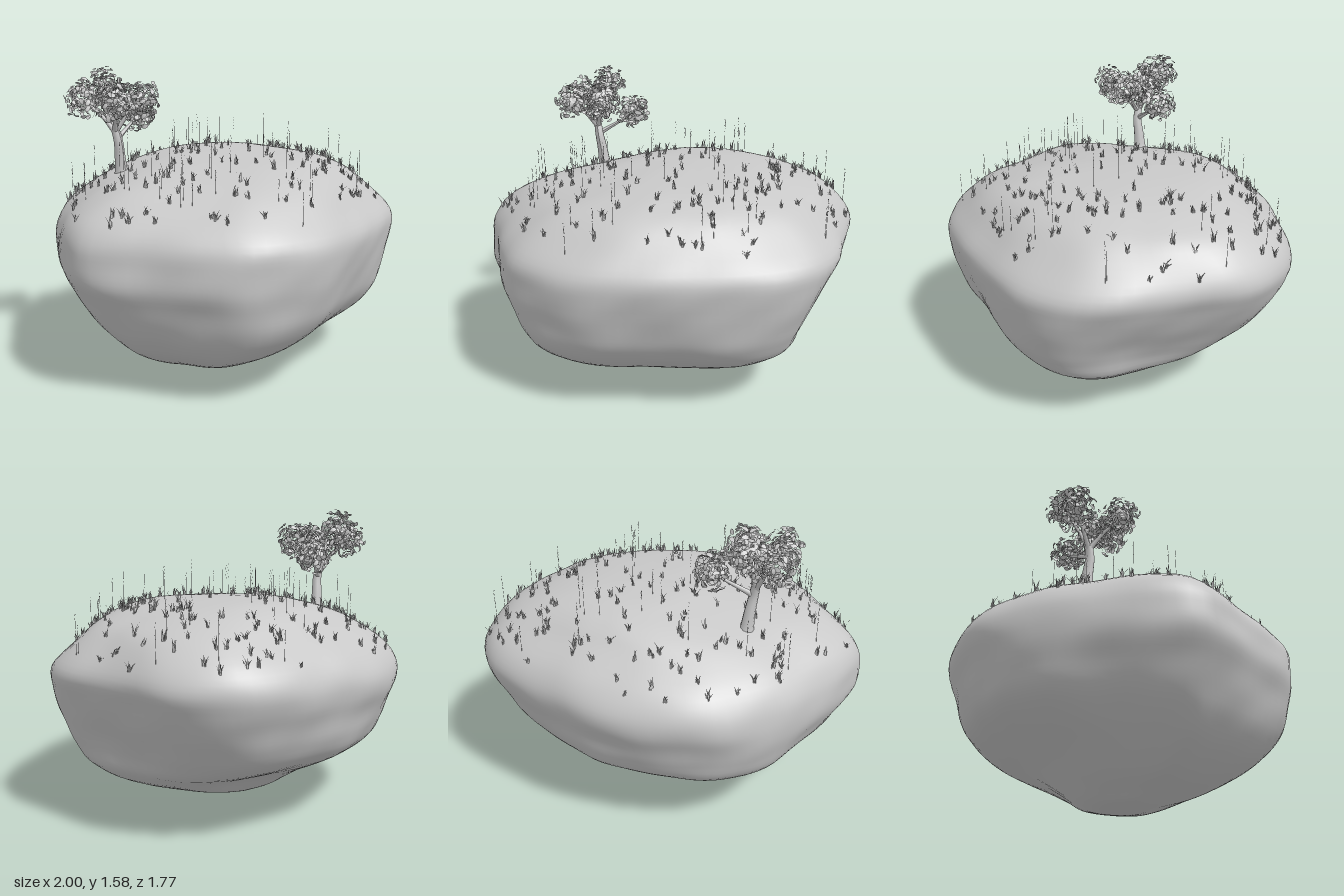
import * as THREE from 'three';
import { mergeGeometries } from 'three/addons/utils/BufferGeometryUtils.js';

const V = (x, y, z) => new THREE.Vector3(x, y, z);

// small seeded random
let seed = 21;
function rnd(a = 0, b = 1) {
  seed = (seed + 0x6d2b79f5) | 0;
  let t = Math.imul(seed ^ (seed >>> 15), 1 | seed);
  t = (t + Math.imul(t ^ (t >>> 7), 61 | t)) ^ t;
  return a + (b - a) * (((t ^ (t >>> 14)) >>> 0) / 4294967296);
}

// plan outline of the island (x, z), counter-clockwise seen from above
const OUTLINE = [
  [1, -0.2], [0.965, -0.4], [0.87, -0.56], [0.69, -0.68], [0.45, -0.78], [0.25, -0.85], [-0.05, -0.885],
  [-0.35, -0.83], [-0.5, -0.74], [-0.65, -0.6], [-0.78, -0.42], [-0.93, -0.2], [-1, 0], [-0.96, 0.15],
  [-0.87, 0.31], [-0.75, 0.54], [-0.65, 0.7], [-0.5, 0.8], [-0.25, 0.88], [0, 0.86], [0.2, 0.83],
  [0.45, 0.78], [0.65, 0.7], [0.81, 0.57], [0.89, 0.4], [0.93, 0.2], [0.97, 0],
];

// extents of each level: y, xMin, xMax, zMin, zMax
const LEVELS = [
  [0, -0.14, -0.14, -0.03, -0.03], [0.01, -0.28, 0, -0.12, 0.1], [0.045, -0.38, 0.14, -0.2, 0.24],
  [0.1, -0.54, 0.34, -0.28, 0.4], [0.2, -0.71, 0.59, -0.43, 0.59], [0.3, -0.81, 0.72, -0.61, 0.72],
  [0.4, -0.88, 0.79, -0.745, 0.8], [0.5, -0.935, 0.85, -0.8, 0.84], [0.6, -0.99, 0.91, -0.84, 0.87],
  [0.7, -1, 0.965, -0.88, 0.885], [0.8, -0.985, 1, -0.87, 0.88], [0.9, -0.91, 0.96, -0.8, 0.8],
  [1.0, -0.74, 0.86, -0.66, 0.7], [1.06, -0.5, 0.73, -0.58, 0.59], [1.1, -0.29, 0.6, -0.5, 0.44],
  [1.13, -0.08, 0.42, -0.37, 0.12], [1.142, 0.18, 0.18, -0.13, -0.13],
];

// local swells (+) and hollows (-): angle, angular width, y, height, amount
const SWELLS = [
  [-0.65, 0.6, 0.18, 0.15, -0.25], [-1.1, 0.45, 0.46, 0.18, 0.05], [-0.65, 0.5, 0.75, 0.2, -0.02],
  [2.36, 0.6, 0.2, 0.25, 0.14], [0.75, 0.6, 0.33, 0.26, 0.09], [-2.3, 0.55, 0.25, 0.32, 0.1],
  [0.75, 0.6, 1.05, 0.17, -0.11], [2.36, 0.6, 1.04, 0.13, -0.06],
];

// lofted boulder: every ring is the outline with its swells, fitted to its level
function islandGeometry() {
  const N = 96, SUB = 4;
  const ring = new THREE.CatmullRomCurve3(OUTLINE.map(([x, z]) => V(x, 0, z)), true)
    .getSpacedPoints(N).slice(0, N);
  const spline = (f) => new THREE.CatmullRomCurve3(LEVELS.map(f), false, 'catmullrom', 0.5);
  const xs = spline((l) => V(l[1], l[2], l[0])), zs = spline((l) => V(l[3], l[4], l[0]));
  const rows = (LEVELS.length - 1) * SUB;
  const pos = [], index = [];
  for (let i = 0; i <= rows; i++) {
    const ex = xs.getPoint(i / rows), ez = zs.getPoint(i / rows), y = ex.z;
    const pts = ring.map((p) => {
      const a = Math.atan2(p.z, p.x);
      let s = 1 + 0.004 * Math.sin(6 * a + 7 * y) + 0.003 * Math.sin(11 * a - 12 * y + 1)
        + 0.002 * Math.sin(17 * a + 25 * y);
      for (const [angle, width, level, height, amount] of SWELLS) {
        const d = Math.atan2(Math.sin(a - angle), Math.cos(a - angle));
        s += amount * Math.exp(-((d / width) ** 2) - ((y - level) / height) ** 2);
      }
      return p.clone().multiplyScalar(s);
    });
    const box = new THREE.Box3().setFromPoints(pts);
    for (const p of pts) {
      pos.push(
        THREE.MathUtils.mapLinear(p.x, box.min.x, box.max.x, ex.x, ex.y), y,
        THREE.MathUtils.mapLinear(p.z, box.min.z, box.max.z, ez.x, ez.y));
    }
  }
  for (let i = 0; i < rows; i++) {
    for (let j = 0; j < N; j++) {
      const a = i * N + j, b = i * N + (j + 1) % N;
      if (i > 0) index.push(a, b, a + N);
      if (i < rows - 1) index.push(b, b + N, a + N);
    }
  }
  const g = new THREE.BufferGeometry();
  g.setAttribute('position', new THREE.Float32BufferAttribute(pos, 3));
  g.setIndex(index);
  g.computeVertexNormals();
  return g;
}

// tapered tube through points
function limb(points, r0, r1) {
  const path = new THREE.CatmullRomCurve3(points);
  const rows = 12, sides = 9;
  const g = new THREE.TubeGeometry(path, rows, 1, sides);
  const p = g.attributes.position, v = V(0, 0, 0);
  for (let i = 0; i < p.count; i++) {
    const t = Math.floor(i / (sides + 1)) / rows;
    const c = path.getPointAt(t);
    v.fromBufferAttribute(p, i).sub(c).multiplyScalar(r0 + (r1 - r0) * Math.sqrt(t)).add(c);
    p.setXYZ(i, v.x, v.y, v.z);
  }
  g.computeVertexNormals();
  return g;
}

// cupped oval leaf facing +z
function leaf(length) {
  const g = new THREE.CircleGeometry(length / 2, 8);
  const p = g.attributes.position;
  for (let i = 0; i < p.count; i++) {
    p.setXYZ(i, p.getX(i) * 0.6, p.getY(i), -18 * p.getY(i) ** 2);
  }
  g.computeVertexNormals();
  return g;
}

// loose ball of leaves facing outward
function leafCluster(center, radius, count) {
  const out = [], o = new THREE.Object3D();
  for (let i = 0; i < count; i++) {
    const h = rnd(-1, 1), a = rnd(0, Math.PI * 2), s = Math.sqrt(1 - h * h);
    const dir = V(s * Math.cos(a), h, s * Math.sin(a));
    o.position.copy(center).addScaledVector(dir, radius * rnd(0.45, 1.12));
    o.lookAt(o.position.clone().add(dir).add(V(rnd(-0.7, 0.7), rnd(-0.3, 0.9), rnd(-0.7, 0.7))));
    o.rotateZ(rnd(0, Math.PI));
    o.updateMatrix();
    out.push(leaf(rnd(0.028, 0.044)).applyMatrix4(o.matrix));
  }
  return out;
}

// tapering blade that bends away from its root
function blade(root, height, width, lean) {
  const g = new THREE.PlaneGeometry(width, height, 1, 3).translate(0, height / 2, 0);
  const p = g.attributes.position;
  for (let i = 0; i < p.count; i++) {
    const t = p.getY(i) / height;
    p.setXYZ(i, p.getX(i) * (1 - t * t * 0.95), p.getY(i), lean * t * t);
  }
  g.rotateY(rnd(0, Math.PI * 2)).translate(root.x, root.y - 0.004, root.z);
  g.computeVertexNormals();
  return g;
}

// thin stem with small seeds near its tip
function stalk(root, height) {
  const parts = [new THREE.CylinderGeometry(0.0007, 0.0013, height, 3).toNonIndexed()
    .translate(root.x, root.y + height / 2, root.z)];
  for (let i = 0; i < 5; i++) {
    parts.push(new THREE.OctahedronGeometry(0.0024).scale(0.8, 1.8, 0.8).translate(
      root.x + (i % 2 ? 0.002 : -0.002), root.y + height * (0.6 + 0.1 * i), root.z));
  }
  return parts;
}

export function createModel() {
  seed = 21;
  const model = new THREE.Group();
  const grey = new THREE.MeshStandardMaterial({ color: 0xc8c8c8 });
  grey.name = 'plain grey';
  grey.side = THREE.DoubleSide;
  const add = (name, geometry, parent = model) => {
    const m = new THREE.Mesh(geometry, grey);
    m.name = name;
    parent.add(m);
    return m;
  };

  const island = add('island', islandGeometry());
  island.updateMatrixWorld();
  const ray = new THREE.Raycaster();
  const ground = (x, z) => {
    ray.set(V(x, 3, z), V(0, -1, 0));
    const hit = ray.intersectObject(island)[0];
    return hit ? hit.point : null;
  };
  // random spots on the upper face, thinner towards the middle
  const scatter = (count) => {
    const spots = [];
    while (spots.length < count) {
      const x = rnd(-0.97, 0.97), z = rnd(-0.87, 0.87);
      if (rnd() > 0.35 + 0.7 * Math.hypot(x, z)) continue;
      const p = ground(x, z);
      if (p && p.y > 0.87) spots.push(p);
    }
    return spots;
  };

  // grass tufts and tall seed stalks
  add('grassTufts', mergeGeometries(scatter(200).flatMap((p) => {
    const size = rnd(0.04, 0.068);
    return Array.from({ length: 6 }, () => blade(
      p.clone().add(V(rnd(-0.007, 0.007), 0, rnd(-0.007, 0.007))),
      size * rnd(0.5, 1), 0.009, rnd(0.005, 0.028)));
  })));
  add('seedStalks', mergeGeometries(scatter(55).flatMap((p) => stalk(p, rnd(0.1, 0.2)))));

  // tree: trunk, one branch to each leaf cluster
  const tree = new THREE.Group();
  tree.name = 'tree';
  model.add(tree);
  const foot = ground(-0.43, -0.32).y - 0.02;
  const fork = V(-0.465, 1.26, -0.32);
  const clusters = [
    [-0.58, 1.41, -0.19, 0.095], [-0.4, 1.41, -0.185, 0.1], [-0.265, 1.34, -0.36, 0.095],
    [-0.43, 1.48, -0.44, 0.1], [-0.57, 1.42, -0.44, 0.098], [-0.46, 1.39, -0.31, 0.1],
  ];
  add('trunk', limb([V(-0.43, foot, -0.32), V(-0.442, 1.12, -0.315), V(-0.455, 1.2, -0.31), fork], 0.04, 0.022), tree);
  add('branches', mergeGeometries(clusters.map(([x, y, z], i) => {
    const start = i === 2 ? V(-0.455, 1.21, -0.315) : fork.clone().add(V(0, -0.015, 0));
    const end = V(x, y - 0.02, z);
    return limb([start, start.clone().lerp(end, 0.5).add(V(0, i === 2 ? 0 : 0.02, 0)), end], 0.018, 0.006);
  })), tree);
  add('leaves', mergeGeometries(clusters.flatMap(([x, y, z, r]) => leafCluster(V(x, y, z), r, 170))), tree);

  return model;
}
